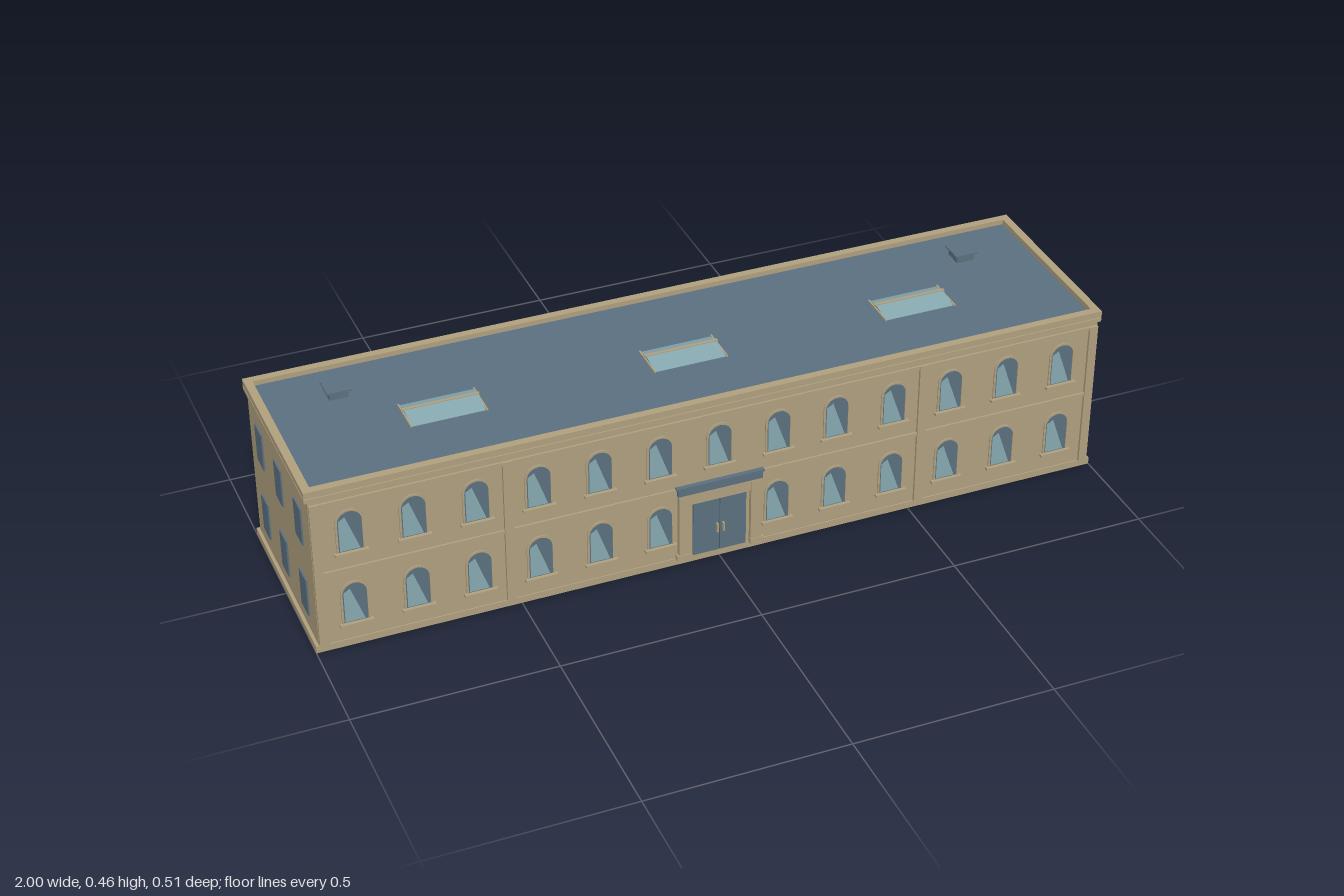
import * as THREE from 'three';

const mat = (name, color) => {
  const m = new THREE.MeshStandardMaterial({ color });
  m.name = name;
  return m;
};

export function createModel() {
  const stone = mat('sandstone', 0xb0a07e);
  const slate = mat('slate', 0x5c7080);
  const glass = mat('pale glass', 0x86a9b0);
  const building = new THREE.Group();
  building.name = 'building';

  const add = (parent, name, geo, m) => {
    const mesh = new THREE.Mesh(geo, m);
    mesh.name = name;
    parent.add(mesh);
    return mesh;
  };
  // Box given by its limits on each axis
  const box = (name, m, x0, x1, y0, y1, z0, z1, parent = building) => {
    const mesh = add(parent, name, new THREE.BoxGeometry(x1 - x0, y1 - y0, z1 - z0), m);
    mesh.position.set((x0 + x1) / 2, (y0 + y1) / 2, (z0 + z1) / 2);
    return mesh;
  };
  const extrude = (shape, depth) =>
    new THREE.ExtrudeGeometry(shape, { depth, bevelEnabled: false, curveSegments: 10 });

  // Main block, plinth and cornice
  box('walls', stone, -0.992, 0.992, 0.002, 0.43, -0.25, 0.242);
  box('plinth', stone, -1, 1, 0, 0.018, -0.255, 0.245);
  box('cornice', stone, -1, 1, 0.419, 0.429, -0.255, 0.245);
  box('roof', slate, -0.98, 0.98, 0.428, 0.435, -0.235, 0.225);

  // Parapet ring around the roof
  for (const [z0, z1] of [[0.225, 0.245], [-0.255, -0.235]])
    box('parapet', stone, -1, 1, 0.432, 0.448, z0, z1);
  for (const s of [-1, 1])
    box('parapet', stone, s * 0.99 - 0.01, s * 0.99 + 0.01, 0.432, 0.448, -0.235, 0.225);

  // Front pilasters and string course
  for (const x of [-0.98, -0.525, 0.525, 0.98])
    box('pilaster', stone, x - 0.011, x + 0.011, 0.018, 0.41, 0.24, 0.249);
  for (const s of [-1, 1])
    box('stringCourse', stone, Math.min(s * 0.11, s * 0.98), Math.max(s * 0.11, s * 0.98),
      0.212, 0.22, 0.24, 0.247);
  box('frieze', stone, -0.98, 0.98, 0.402, 0.41, 0.24, 0.247);

  // Arched front windows
  const arch = (w, h, y0 = 0, Type = THREE.Shape) => {
    const s = new Type();
    s.moveTo(-w, y0);
    s.lineTo(w, y0);
    s.lineTo(w, h);
    s.absarc(0, h, w, 0, Math.PI, false);
    s.lineTo(-w, y0);
    return s;
  };
  const surround = arch(0.034, 0.081);
  surround.holes.push(arch(0.029, 0.081, 0.001, THREE.Path));
  const surroundGeo = extrude(surround, 0.004);
  const paneGeo = extrude(arch(0.029, 0.081), 0.002);
  const glint = new THREE.Shape();
  glint.moveTo(-0.026, 0.003);
  glint.lineTo(0.022, 0.003);
  glint.lineTo(-0.01, 0.095);
  glint.lineTo(-0.026, 0.085);
  const glintGeo = extrude(glint, 0.0008);

  const archedWindow = (x, y) => {
    const g = new THREE.Group();
    g.name = 'archedWindow';
    g.position.set(x, y, 0.2415);
    add(g, 'windowSurround', surroundGeo, stone);
    add(g, 'windowPane', paneGeo, slate);
    add(g, 'windowGlass', glintGeo, glass).position.z = 0.0018;
    box('windowSill', stone, -0.04, 0.04, -0.006, 0.001, -0.001, 0.011, g);
    building.add(g);
  };
  for (let i = -6; i <= 6; i++) {
    archedWindow(i * 0.15, 0.264);
    if (i !== 0) archedWindow(i * 0.15, 0.064);
  }

  // Plain windows on both end walls
  for (const s of [-1, 1])
    for (const z of [0.154, -0.005, -0.162])
      for (const y of [0.062, 0.262])
        box('endWindow', slate, s * 0.993 - 0.003, s * 0.993 + 0.003, y, y + 0.1, z - 0.028, z + 0.028);

  // Entrance with double door
  const entrance = new THREE.Group();
  entrance.name = 'entrance';
  building.add(entrance);
  for (const s of [-1, 1]) {
    box('doorPost', stone, s * 0.092 - 0.014, s * 0.092 + 0.014, 0.018, 0.195, 0.24, 0.253, entrance);
    box('doorPostBase', stone, s * 0.094 - 0.017, s * 0.094 + 0.017, 0.016, 0.03, 0.24, 0.255, entrance);
    box('doorLeaf', slate, s * 0.0345 - 0.0335, s * 0.0345 + 0.0335, 0.018, 0.17, 0.24, 0.247, entrance);
    box('doorHandle', stone, s * 0.008 - 0.002, s * 0.008 + 0.002, 0.075, 0.098, 0.246, 0.256, entrance);
  }
  box('doorLintel', stone, -0.106, 0.106, 0.176, 0.2, 0.24, 0.252, entrance);
  box('doorFrame', stone, -0.08, 0.08, 0.169, 0.178, 0.24, 0.25, entrance);
  box('canopy', slate, -0.108, 0.108, 0.2, 0.22, 0.24, 0.252, entrance);
  box('canopyCap', slate, -0.112, 0.112, 0.219, 0.224, 0.24, 0.254, entrance);

  // Low ridged skylights
  const gable = new THREE.Shape([[-0.07, 0], [0.03, 0], [-0.005, 0.01]]
    .map(([a, b]) => new THREE.Vector2(a, b)));
  const gableGeo = extrude(gable, 0.18).rotateY(Math.PI / 2).translate(-0.09, 0, 0);
  for (const x of [-0.6, 0, 0.6]) {
    const g = new THREE.Group();
    g.name = 'skylight';
    g.position.set(x, 0.4345, 0);
    add(g, 'skylightGlass', gableGeo, glass);
    box('skylightRidge', stone, -0.094, 0.094, 0.008, 0.0115, 0.001, 0.009, g);
    for (const s of [-1, 1])
      box('skylightEnd', stone, s * 0.092 - 0.002, s * 0.092 + 0.002, 0, 0.004, -0.03, 0.07, g);
    building.add(g);
  }

  // Roof vents
  for (const x of [-0.81, 0.81]) {
    box('ventBase', slate, x - 0.023, x + 0.023, 0.433, 0.456, -0.154, -0.107);
    box('ventCap', slate, x - 0.03, x + 0.03, 0.455, 0.459, -0.161, -0.1);
  }
  return building;
}
